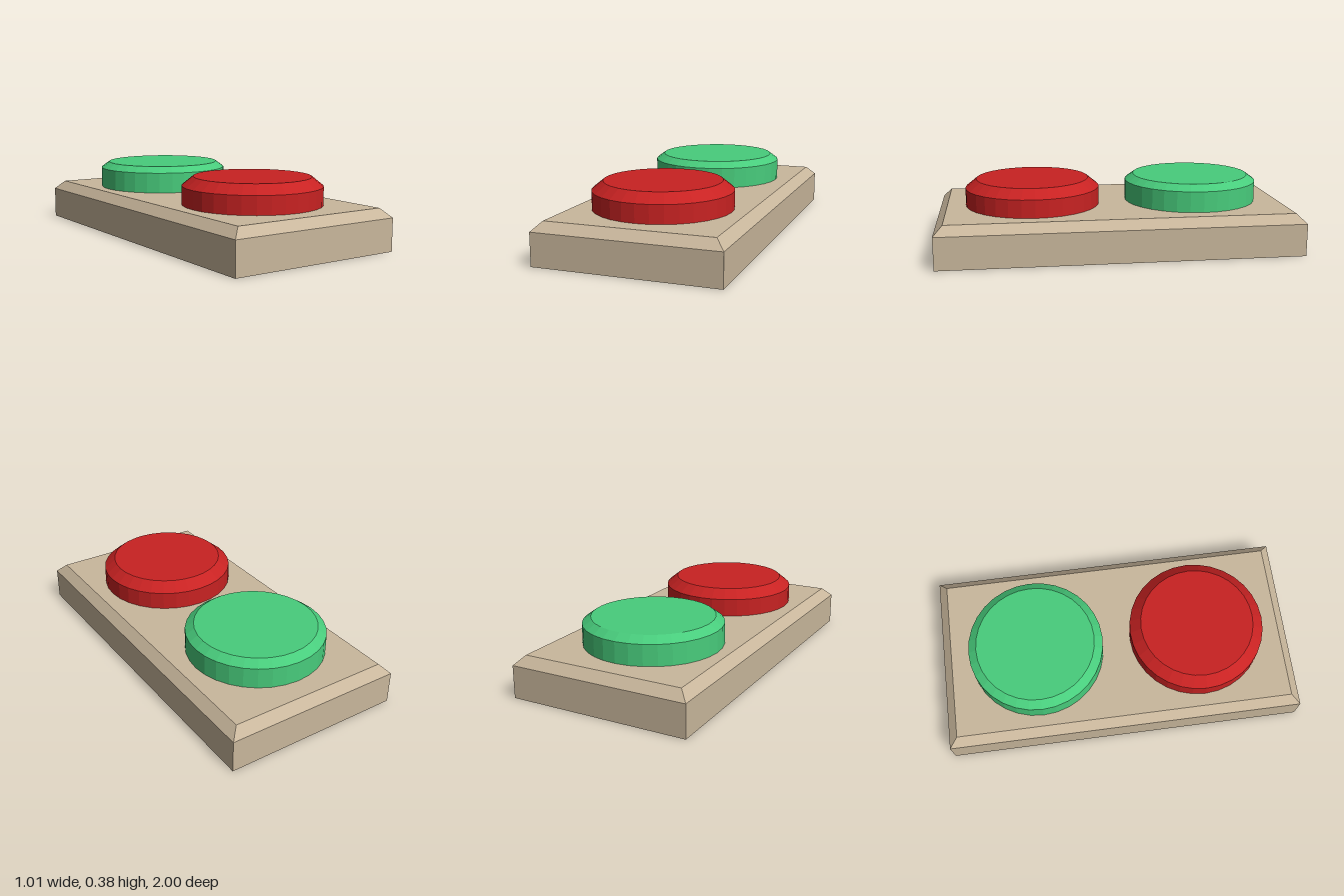
import * as THREE from 'three';

const BASE_TOP = 0.23;
const BUTTON_TOP = 0.38;

const paint = (color) => new THREE.MeshStandardMaterial({ color, flatShading: true });

// Box whose upper edges are cut back by a chamfer
function chamferedBox(width, height, depth, chamfer) {
  const geometry = new THREE.BoxGeometry(width, height, depth, 1, 2, 1);
  geometry.translate(0, height / 2, 0);
  const p = geometry.attributes.position;
  for (let i = 0; i < p.count; i++) {
    const y = p.getY(i);
    if (y > height * 0.75) {
      p.setX(i, p.getX(i) - Math.sign(p.getX(i)) * chamfer);
      p.setZ(i, p.getZ(i) - Math.sign(p.getZ(i)) * chamfer);
    } else if (y > height * 0.25) {
      p.setY(i, height - chamfer);
    }
  }
  geometry.computeVertexNormals();
  return geometry;
}

// Round button: straight wall, sloped rim, flat top
function button(name, color, x, z, radius, topRadius, wallTop) {
  const profile = [
    [0, BASE_TOP], [radius, BASE_TOP], [radius, wallTop],
    [topRadius, BUTTON_TOP], [0, BUTTON_TOP],
  ].map(([r, y]) => new THREE.Vector2(r, y));
  const mesh = new THREE.Mesh(new THREE.LatheGeometry(profile, 32), paint(color));
  mesh.name = name;
  mesh.position.set(x, 0, z);
  return mesh;
}

export function createModel() {
  const model = new THREE.Group();
  model.name = 'twoButtonPanel';

  const base = new THREE.Mesh(chamferedBox(1.01, BASE_TOP, 2, 0.05), paint(0xc9b79c));
  base.name = 'base';

  model.add(
    base,
    button('redButton', 0xc82222, -0.006, 0.465, 0.38, 0.318, 0.33),
    button('greenButton', 0x48cc7c, -0.012, -0.455, 0.38, 0.333, 0.346),
  );
  return model;
}
